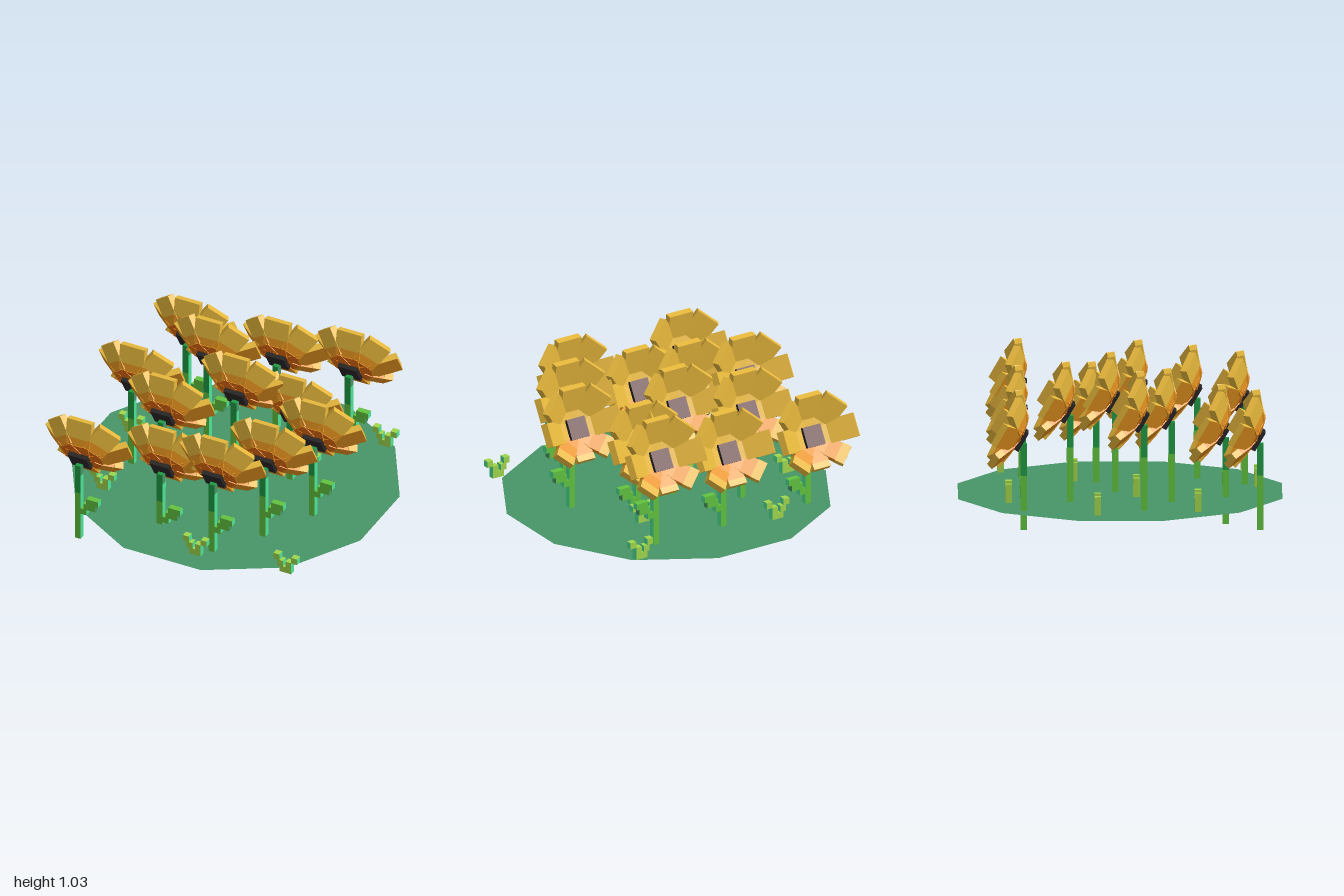
import * as THREE from 'three';

const mat = (name, color, extra = {}) => new THREE.MeshStandardMaterial({ name, color, ...extra });
const M = {
  ground: mat('ground green', 0x479466, { side: THREE.DoubleSide }),
  leaf: mat('leaf green', 0xa0d64c),
  stem: mat('stem green', 0x61c23f),
  deep: mat('deep green', 0x1f9a44),
  teal: mat('teal green', 0x4ee296),
  yellow: mat('petal yellow', 0xe6b73c),
  orange: mat('petal orange', 0xf09a20),
  rust: mat('petal rust', 0xdc660c),
  black: mat('calyx black', 0x272424),
  plum: mat('seed plum', 0x6b4143),
};

function box(name, w, h, d, material, x = 0, y = 0, z = 0) {
  const mesh = new THREE.Mesh(new THREE.BoxGeometry(w, h, d), material);
  mesh.name = name;
  mesh.position.set(x, y, z);
  return mesh;
}

// Faces in order: +x, -x, +y, -y, +z, -z
const sided = (main, side = M.teal) => [side, main, main, main, main, main];
const petalFaces = (edge, inside, outside) => [edge, edge, edge, edge, inside, outside];
const CUBE = 0.041;
const rad = THREE.MathUtils.degToRad;

// Petal shapes from the hanging one round to the upright one
const SHAPES = [
  { width: 0.125, tilt: 8, bend: 4, base: 0.09, mid: 0.05, tip: 0.04, inside: M.orange, outside: M.orange },
  { width: 0.13, tilt: 12, bend: 10, base: 0.09, mid: 0.08, tip: 0.06, inside: M.orange, outside: M.orange },
  { width: 0.15, tilt: 15, bend: 20, base: 0.09, mid: 0.08, tip: 0.105, inside: M.yellow, outside: M.orange },
  { width: 0.16, tilt: 13, bend: 25, base: 0.09, mid: 0.06, tip: 0.12, inside: M.yellow, outside: M.yellow },
  { width: 0.17, tilt: 12, bend: 28, base: 0.09, mid: 0.05, tip: 0.12, inside: M.yellow, outside: M.yellow },
];

// One petal: a rust-backed base, then a blade curling inwards
function petal(angle, s) {
  const pivot = new THREE.Group();
  pivot.name = 'petal';
  pivot.rotation.z = angle;
  const t = 0.044;

  const inner = new THREE.Group();
  inner.position.set(0, 0.04, -0.005);
  inner.rotation.x = rad(s.tilt);
  inner.add(box('petalBase', s.width * 0.85, s.base, t,
    petalFaces(M.orange, s.inside, M.rust), 0, s.base / 2, 0));

  const blade = new THREE.Group();
  blade.position.y = s.base - 0.008;
  blade.rotation.x = rad(s.bend);
  blade.add(box('petalMiddle', s.width * 0.96, s.mid, t,
    petalFaces(M.orange, s.inside, M.orange), 0, s.mid / 2, 0));
  blade.add(box('petalTip', s.width, s.tip, t,
    petalFaces(M.yellow, M.yellow, s.outside), 0, s.mid + s.tip / 2, 0));
  inner.add(blade);
  pivot.add(inner);
  return pivot;
}

// Cupped flower head; local +z is the open face, local +y hangs down
function flowerHead() {
  const head = new THREE.Group();
  head.name = 'flowerHead';
  head.rotation.x = rad(-150);
  head.add(box('seedDisc', 0.13, 0.13, 0.1, petalFaces(M.black, M.plum, M.black)));
  for (let i = 0; i < 8; i++) {
    head.add(petal(i * Math.PI / 4, SHAPES[Math.min(i, 8 - i)]));
  }
  return head;
}

// Whole flower, origin at the foot of the stem
function flower(x, z, foot) {
  const g = new THREE.Group();
  g.name = 'flower';
  g.position.set(x, foot, z);
  g.add(box('lowerStem', 0.04, 0.34, 0.04, sided(M.stem), 0, 0.17, 0));
  g.add(box('upperStem', 0.04, 0.13, 0.04, sided(M.deep), 0, 0.405, 0));
  g.add(box('stemNeck', 0.04, 0.07, 0.04, sided(M.deep, M.ground), 0, 0.505, 0));
  // Stepped leaf beside the stem, with one dull end
  for (const [lx, ly] of [[0.04, 0.21], [0.06, 0.25], [0.08, 0.29], [0.12, 0.29]]) {
    g.add(box('stemLeaf', CUBE, CUBE, CUBE, sided(M.stem), lx, ly, 0));
  }
  g.add(box('stemLeafEnd', CUBE, CUBE, CUBE, sided(M.stem, M.ground), 0.1, 0.25, 0));
  const head = flowerHead();
  head.position.set(0, 0.58, -0.045);
  g.add(head);
  return g;
}

// Small sprout made of a stepped row of cubes
function sprout(x, z, front = M.leaf) {
  const g = new THREE.Group();
  g.name = 'sprout';
  g.position.set(x, 0.192, z);
  const faces = [M.teal, M.leaf, M.leaf, M.leaf, front, M.leaf];
  for (const [c, r] of [[0, 2], [0.6, 1], [1, 0], [2, 0], [2, 1], [3, 2]]) {
    g.add(box('sproutLeaf', CUBE, CUBE, CUBE, faces, (c - 1.5) * CUBE, r * CUBE, 0));
  }
  return g;
}

export function createModel() {
  const model = new THREE.Group();
  model.name = 'flowerBed';

  // Twelve-sided ground sheet
  const ground = new THREE.Mesh(
    new THREE.CircleGeometry(1.035, 12, Math.PI / 12), M.ground);
  ground.name = 'ground';
  ground.rotation.x = -Math.PI / 2;
  ground.position.y = 0.17;
  model.add(ground);

  // x, z, height of the stem foot
  const flowers = [
    [-0.64, -0.6, 0.05], [-0.02, -0.6, 0.09], [0.48, -0.6, 0.165],
    [-0.35, -0.31, 0.172], [0.31, -0.145, 0.05], [-0.02, -0.03, 0.172],
    [-0.64, 0.145, 0.165], [0.61, 0.145, 0.13], [-0.35, 0.315, 0.13],
    [0.44, 0.48, 0.13], [-0.185, 0.65, 0], [0.235, 0.77, 0.13], [-0.645, 0.86, 0.05],
  ];
  for (const f of flowers) model.add(flower(...f));

  const sprouts = [
    [-0.79, -0.145], [-0.67, 0.475], [-0.17, 0.1], [0.16, 0.85],
    [0.745, 0.77], [-0.36, -0.69, M.ground], [0.67, -0.73], [0.36, -0.28],
  ];
  for (const s of sprouts) model.add(sprout(...s));
  return model;
}
